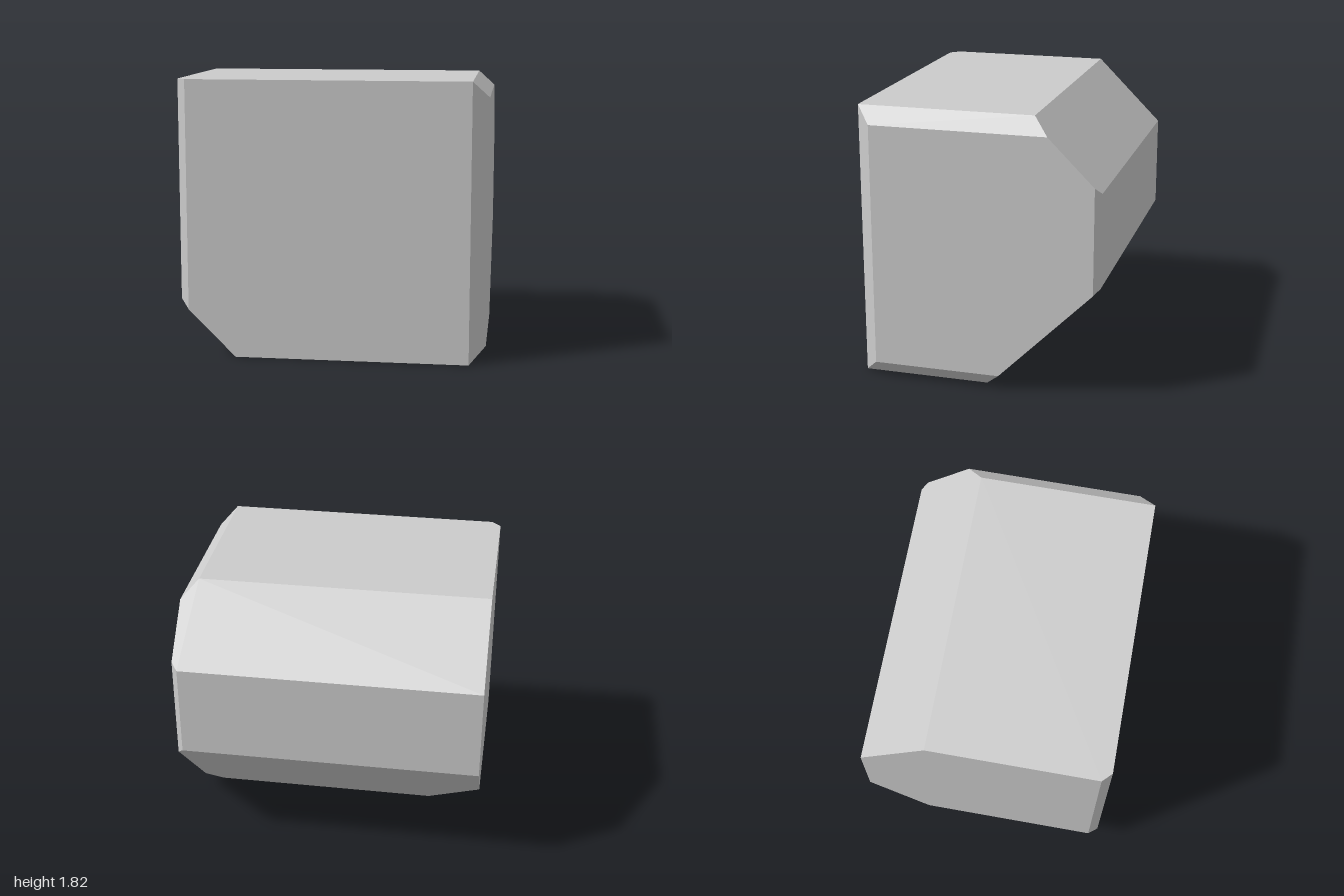
import * as THREE from 'three';
import { ConvexGeometry } from 'three/addons/geometries/ConvexGeometry.js';

const W = 1, H = 1.817, D = 0.8; // half width, height, half depth

// A flat cut: keeps every point where nx*x + ny*y + nz*z <= limit
const cut = (nx, ny, nz, limit) => ({ n: new THREE.Vector3(nx, ny, nz), limit });

// Corners of the solid bounded by all cuts
function cornersOf(cuts) {
  const corners = [];
  const solve = new THREE.Matrix3();
  for (let i = 0; i < cuts.length; i++)
    for (let j = i + 1; j < cuts.length; j++)
      for (let k = j + 1; k < cuts.length; k++) {
        const [a, b, c] = [cuts[i], cuts[j], cuts[k]];
        solve.set(a.n.x, a.n.y, a.n.z, b.n.x, b.n.y, b.n.z, c.n.x, c.n.y, c.n.z);
        if (Math.abs(solve.determinant()) < 1e-6) continue;
        const p = new THREE.Vector3(a.limit, b.limit, c.limit).applyMatrix3(solve.invert());
        const inside = cuts.every(({ n, limit }) => n.dot(p) <= limit + 1e-5);
        if (inside && !corners.some((q) => q.distanceTo(p) < 1e-3)) corners.push(p);
      }
  return corners;
}

// Bevel along the edge where two box sides meet; size is its leg length
function bevel(sideA, sideB, size) {
  return { n: sideA.n.clone().add(sideB.n), limit: sideA.limit + sideB.limit - size };
}

export function createModel() {
  const group = new THREE.Group();
  group.name = 'bevelledBlock';

  // Box sides
  const left = cut(1, 0, 0, W), right = cut(-1, 0, 0, W);
  const top = cut(0, 1, 0, H), bottom = cut(0, -1, 0, 0);
  const front = cut(0, 0, 1, D), back = cut(0, 0, -1, D);

  // Bevelled edges
  const bevels = [
    bevel(left, front, 0.105),
    bevel(left, top, 0.105),
    bevel(left, bottom, 0.105),
    bevel(left, back, 0.04),
    bevel(right, front, 0.06),
    bevel(right, bottom, 0.37),
    bevel(top, back, 0.443),
    bevel(bottom, back, 0.76),
  ];

  const block = new THREE.Mesh(
    new ConvexGeometry(cornersOf([left, right, top, bottom, front, back, ...bevels])),
    new THREE.MeshStandardMaterial({ color: 0xcccccc, flatShading: true })
  );
  block.name = 'block';
  group.add(block);
  return group;
}
